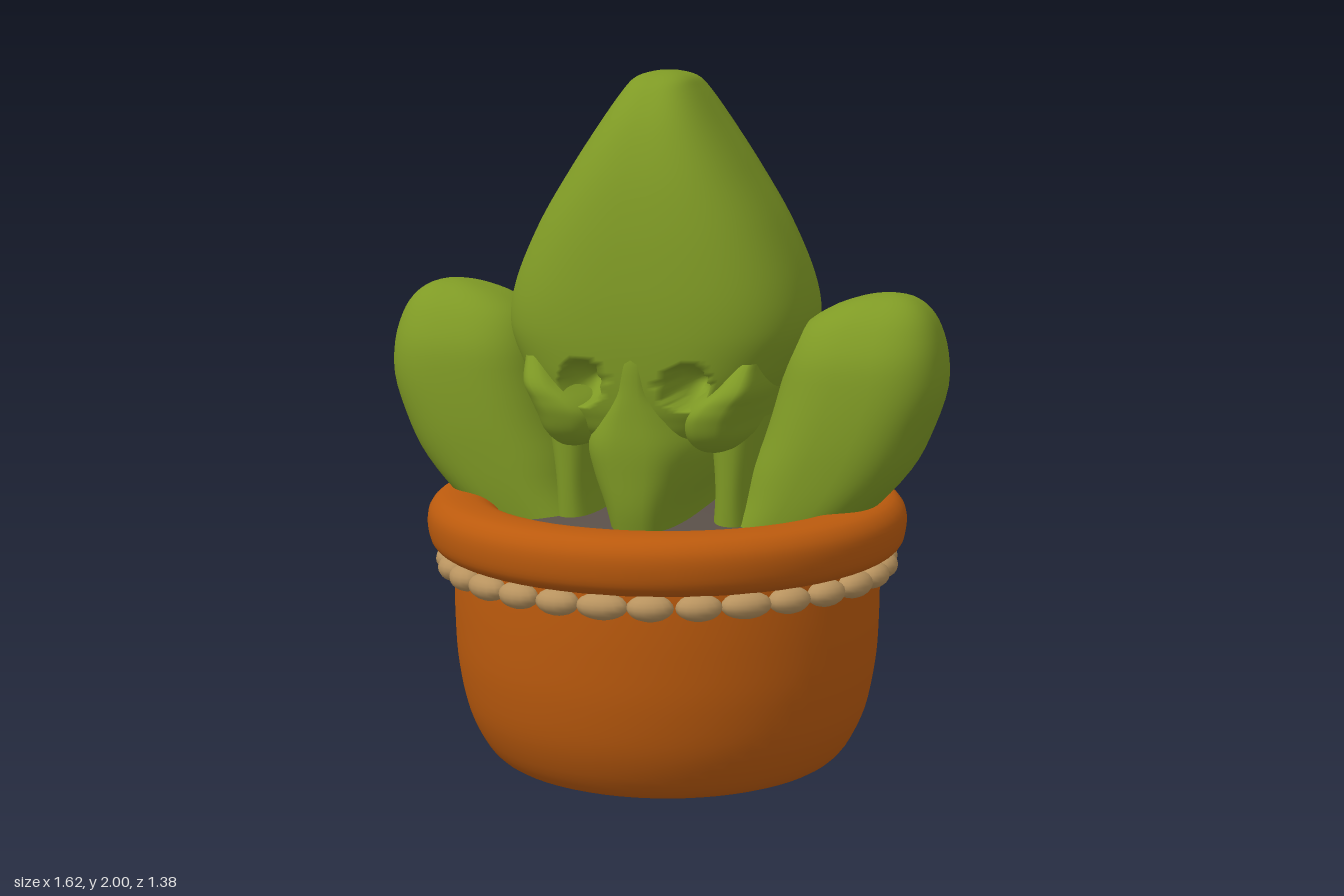
import * as THREE from 'three';

const mat = (name, color) => Object.assign(new THREE.MeshStandardMaterial({ color }), { name });

// Smooth body through horizontal rounded sections; each row is [y, xMin, xMax, half depth]
function loft(rows, power, levels = 32, sides = 48, deform) {
  const curve = (k) => new THREE.CatmullRomCurve3(
    rows.map((r) => new THREE.Vector3(r[k], r[0], r[3])), false, 'catmullrom', 0.5);
  const low = curve(1), high = curve(2), pos = [], index = [];
  const round = (v) => Math.sign(v) * Math.abs(v) ** (2 / power);
  const p = new THREE.Vector3();
  for (let i = 0; i <= levels; i++) {
    const a = low.getPoint(i / levels), b = high.getPoint(i / levels);
    for (let j = 0; j < sides; j++) {
      const t = (j / sides) * Math.PI * 2;
      p.set((a.x + b.x) / 2 + (b.x - a.x) / 2 * round(Math.cos(t)), a.y, a.z * round(Math.sin(t)));
      if (deform) deform(p);
      pos.push(p.x, p.y, p.z);
      if (i < levels) {
        const k = i * sides, n = (j + 1) % sides;
        index.push(k + j, k + sides + j, k + n, k + n, k + sides + j, k + sides + n);
      }
    }
  }
  const g = new THREE.BufferGeometry();
  g.setAttribute('position', new THREE.Float32BufferAttribute(pos, 3));
  g.setIndex(index);
  g.computeVertexNormals();
  return g;
}

const mirrorRows = (rows, side) => side > 0 ? rows : rows.map(([y, a, b, d]) => [y, -b, -a, d]);

// Surface of revolution through a smoothed profile
function turned(points, steps) {
  const curve = new THREE.CatmullRomCurve3(points.map(([r, y]) => new THREE.Vector3(r, y, 0)));
  return new THREE.LatheGeometry(curve.getPoints(steps).map((p) => new THREE.Vector2(Math.max(p.x, 0), p.y)), 64);
}

export function createModel() {
  const model = new THREE.Group();
  const green = mat('leaf green', 0x7f9a25);
  const clay = mat('terracotta', 0xbb5a0d);
  const tan = mat('tan beads', 0xb8935f);
  const earth = mat('dark soil', 0x5a5049);
  const add = (name, geometry, material) => {
    const mesh = new THREE.Mesh(geometry, material);
    mesh.name = name;
    model.add(mesh);
    return mesh;
  };

  // Pot with a rounded foot and a fat rolled rim
  add('pot', turned([[0, 0.005], [0.2, 0.005], [0.4, 0.01], [0.5, 0.04], [0.57, 0.15], [0.605, 0.3],
    [0.615, 0.45], [0.615, 0.58], [0.61, 0.68]], 40), clay);
  add('rim', turned([[0.56, 0.63], [0.63, 0.635], [0.675, 0.66], [0.69, 0.71], [0.685, 0.76], [0.655, 0.793],
    [0.59, 0.802], [0.53, 0.79], [0.485, 0.75], [0.47, 0.69], [0.49, 0.64]], 44), clay);
  add('soil', turned([[0.5, 0.71], [0.4, 0.735], [0.2, 0.75], [0, 0.755]], 12), earth);

  // Ring of beads below the rim
  const beads = new THREE.Group();
  beads.name = 'beads';
  const beadShape = new THREE.SphereGeometry(1, 14, 10);
  const count = 30;
  for (let i = 0; i < count; i++) {
    const a = (i / count) * Math.PI * 2;
    const bead = new THREE.Mesh(beadShape, tan);
    bead.name = 'bead';
    bead.position.set(Math.sin(a) * 0.625, 0.603, Math.cos(a) * 0.625);
    bead.rotation.y = a;
    bead.scale.set(i % 3 ? 0.064 : 0.072, 0.037, 0.045);
    beads.add(bead);
  }
  model.add(beads);

  // Pointed central body, dented by a small hollow above each curl on front and back
  const hollow = (p) => {
    const d = Math.hypot((Math.abs(p.x) - 0.15) / 0.06, (p.y - 1.155) / 0.065);
    if (d < 1 && Math.abs(p.z) > 0.1) p.z *= 1 - 0.55 * (1 - d * d) ** 0.7;
  };
  add('centralBody', loft([
    [0.98, 0.02, 0.2], [1.0, 0.22, 0.3], [1.06, 0.3, 0.335], [1.12, 0.345, 0.35], [1.2, 0.395, 0.36],
    [1.3, 0.428, 0.365], [1.42, 0.41, 0.36], [1.58, 0.34, 0.34], [1.73, 0.25, 0.305], [1.86, 0.165, 0.25],
    [1.95, 0.105, 0.18], [1.985, 0.075, 0.12], [2.0, 0.03, 0.05], [2.0, 0, 0],
  ].map(([y, w, d]) => [y, -w, w, d]), 2.9, 110, 144, hollow), green);

  // Tongue running down from the body into the soil
  add('tongue', loft([
    [0.7, 0.1, 0.33], [0.8, 0.125, 0.355], [0.9, 0.165, 0.365], [0.98, 0.18, 0.37], [1.06, 0.14, 0.368],
    [1.14, 0.085, 0.366], [1.24, 0.07, 0.36], [1.32, 0.02, 0.32],
  ].map(([y, w, d]) => [y, -w, w, d]), 2.8), green);

  const curl = [
    [0.958, 0.2, 0.21, 0.22], [0.972, 0.14, 0.265, 0.285], [1.01, 0.105, 0.305, 0.33], [1.06, 0.1, 0.325, 0.352],
    [1.1, 0.13, 0.34, 0.358], [1.15, 0.2, 0.355, 0.35], [1.22, 0.26, 0.35, 0.3],
  ];
  const leaf = [
    [0.68, 0.18, 0.5, 0.21], [0.8, 0.24, 0.63, 0.225], [0.9, 0.27, 0.715, 0.232], [1.0, 0.31, 0.765, 0.235],
    [1.12, 0.345, 0.805, 0.23], [1.22, 0.37, 0.805, 0.215], [1.3, 0.41, 0.785, 0.175], [1.35, 0.48, 0.755, 0.13],
    [1.38, 0.56, 0.715, 0.08], [1.392, 0.62, 0.67, 0.03], [1.393, 0.645, 0.645, 0],
  ];
  // Narrow stalk in the shade between tongue and leaf
  const stalk = [[0.7, 0.16, 0.3, 0.2], [0.85, 0.17, 0.3, 0.21], [1.05, 0.15, 0.33, 0.22]];
  for (const side of [1, -1]) {
    const label = side > 0 ? 'left' : 'right';
    add(label + 'Curl', loft(mirrorRows(curl, side), 2.8), green);
    add(label + 'Leaf', loft(mirrorRows(leaf, side), 2.7), green);
    add(label + 'Stalk', loft(mirrorRows(stalk, side), 2.4, 12), green);
  }
  return model;
}
